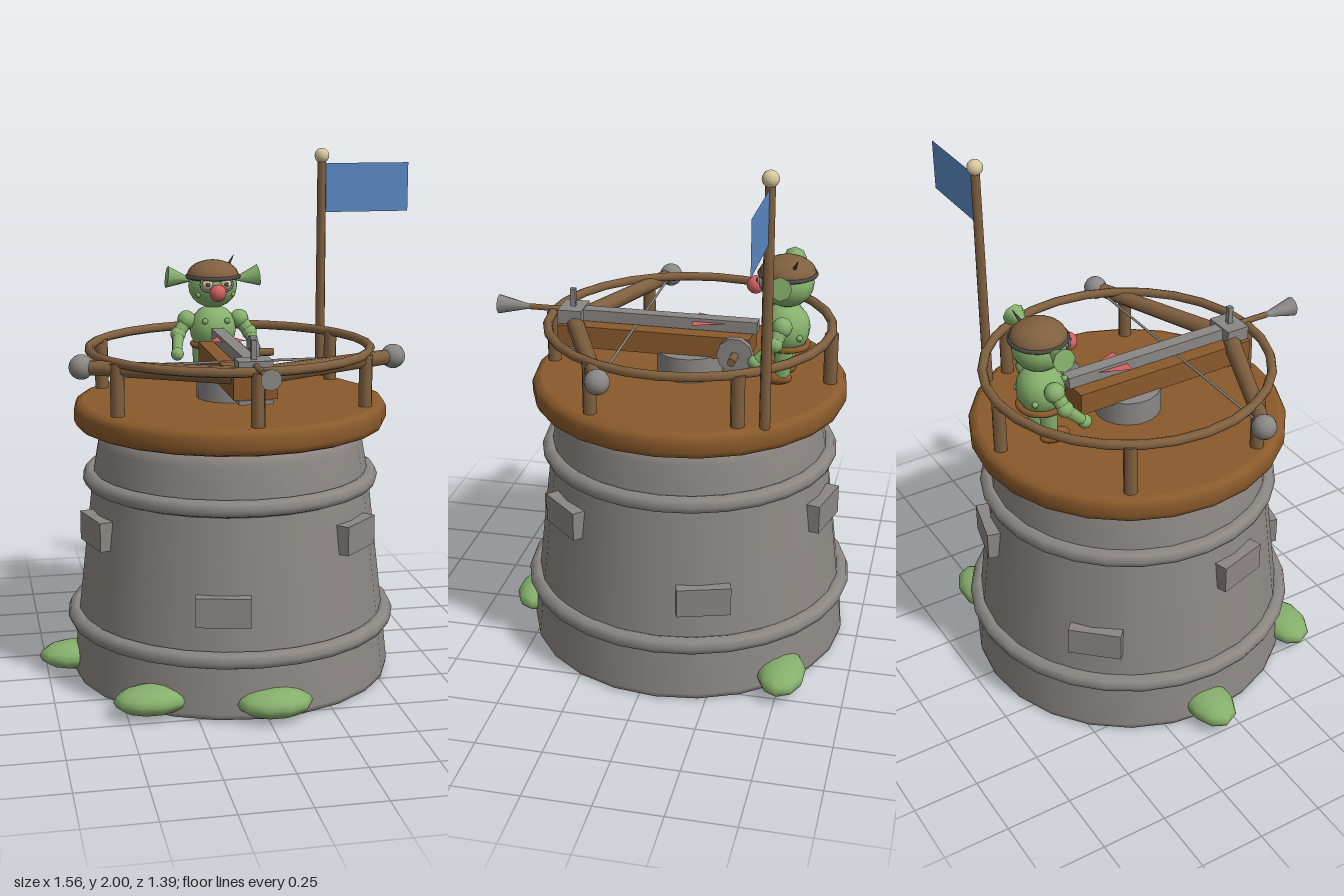
import * as THREE from 'three';

export function createModel() {
  const root = new THREE.Group();
  root.name = 'watchtower';
  const model = new THREE.Group();
  model.name = 'tower';
  model.position.set(-0.027, 0, -0.062);
  root.add(model);

  const mat = (name, color, side = THREE.FrontSide) => {
    const m = new THREE.MeshStandardMaterial({ color, side });
    m.name = name;
    return m;
  };
  const stone = mat('stone', 0x8c8783);
  const metal = mat('metal', 0x8a8886);
  const deck = mat('deckWood', 0x8a5a2b);
  const wood = mat('railWood', 0x80603f);
  const green = mat('green', 0x86b06c);
  const red = mat('red', 0xd45f5f, THREE.DoubleSide);
  const blue = mat('blue', 0x5b8ac6, THREE.DoubleSide);
  const cream = mat('cream', 0xd6c8a0);
  const dark = mat('darkMetal', 0x4d4a48);

  const add = (name, geo, material, x = 0, y = 0, z = 0, parent = model) => {
    const m = new THREE.Mesh(geo, material);
    m.name = name;
    m.position.set(x, y, z);
    parent.add(m);
    return m;
  };
  const ball = (name, r, material, x, y, z, sx = 1, sy = 1, sz = 1, parent = model) => {
    const m = add(name, new THREE.SphereGeometry(r, 14, 10), material, x, y, z, parent);
    m.scale.set(sx, sy, sz);
    return m;
  };
  const box = (name, w, h, d, material, x, y, z) =>
    add(name, new THREE.BoxGeometry(w, h, d), material, x, y, z);
  // Round bar from a to b, radius r0 at a and r1 at b
  const bar = (name, a, b, r0, r1, material, sides = 8, parent = model) => {
    const p = new THREE.Vector3(...a), q = new THREE.Vector3(...b);
    const d = q.clone().sub(p);
    const m = add(name, new THREE.CylinderGeometry(r1, r0, d.length(), sides), material, 0, 0, 0, parent);
    m.position.copy(p).add(q).multiplyScalar(0.5);
    m.quaternion.setFromUnitVectors(new THREE.Vector3(0, 1, 0), d.normalize());
    return m;
  };
  const ring = (name, R, r, material, y, parent = model, z = 0) => {
    const m = add(name, new THREE.TorusGeometry(R, r, 8, 28), material, 0, y, z, parent);
    m.rotation.x = Math.PI / 2;
    return m;
  };
  const lathe = (name, pts, sides, material) =>
    add(name, new THREE.LatheGeometry(pts.map(p => new THREE.Vector2(...p)), sides), material);

  // Stone body with bands
  lathe('towerBody', [[0, 0.005], [0.6, 0.005], [0.6, 0.005], [0.617, 0.012], [0.62, 0.03],
    [0.598, 0.235], [0.535, 0.78], [0.51, 0.92], [0.503, 0.955], [0.475, 0.98], [0.4, 0.99], [0, 0.99]], 24, stone);
  ring('lowerBand', 0.606, 0.033, stone, 0.235);
  ring('upperBand', 0.538, 0.033, stone, 0.78);

  // Protruding bricks in two staggered rows
  for (let i = 0; i < 3; i++) {
    for (const [deg, y, r] of [[46, 0.617, 0.548], [-13, 0.412, 0.565]]) {
      const a = THREE.MathUtils.degToRad(deg + i * 120);
      box('brick', 0.2, 0.11, 0.075, stone, Math.sin(a) * r, y, Math.cos(a) * r).rotation.y = a;
    }
  }

  // Shrubs around the base
  for (const [x, z] of [[0.052, 0.61], [-0.385, 0.5], [-0.615, -0.013], [0.447, -0.45]]) {
    const s = add('shrub', new THREE.SphereGeometry(1, 10, 8), green, x, 0.07, z);
    s.scale.set(0.14, 0.054, 0.09);
  }

  // Round platform
  lathe('platform', [[0, 0.98], [0.57, 0.98], [0.57, 0.98], [0.59, 0.988], [0.6, 1.01], [0.6, 1.05],
    [0.59, 1.07], [0.57, 1.078], [0.57, 1.078], [0, 1.078]], 24, deck);

  // Railing
  ring('handRail', 0.536, 0.018, wood, 1.273);
  for (let i = 0; i < 6; i++) {
    const a = i * Math.PI / 3, x = Math.sin(a) * 0.536, z = Math.cos(a) * 0.536;
    bar('railPost', [x, 1.07, z], [x, 1.273, z], 0.026, 0.026, wood);
  }

  // Flag
  bar('flagPole', [0.445, 1.07, -0.362], [0.445, 1.96, -0.362], 0.02, 0.018, wood);
  ball('poleFinial', 0.03, cream, 0.445, 1.97, -0.362);
  add('flag', new THREE.PlaneGeometry(0.345, 0.195), blue, 0.633, 1.842, -0.362);

  // Giant crossbow
  add('pedestal', new THREE.CylinderGeometry(0.127, 0.127, 0.1, 18), metal, 0, 1.122, 0);
  box('stock', 0.16, 0.085, 0.74, deck, 0, 1.21, 0.128);
  box('boltTrack', 0.05, 0.045, 0.7, metal, 0, 1.278, 0.09);
  box('headBracket', 0.125, 0.055, 0.092, metal, 0, 1.278, 0.455);
  box('underPlate', 0.125, 0.016, 0.095, metal, 0, 1.159, 0.457);
  box('sight', 0.02, 0.08, 0.02, metal, 0, 1.335, 0.455);
  bar('boltShaft', [0, 1.288, -0.15], [0, 1.288, 0.63], 0.012, 0.012, wood);
  bar('boltHead', [0, 1.288, 0.615], [0, 1.288, 0.752], 0.006, 0.038, metal, 10);
  for (const s of [-1, 1]) {
    bar('bowLimb', [s * 0.05, 1.245, 0.435], [s * 0.587, 1.252, 0.205], 0.034, 0.028, wood);
    ball('limbCap', 0.046, metal, s * 0.587, 1.252, 0.205);
    const fin = new THREE.Shape();
    fin.moveTo(s * 0.025, 0.14);
    fin.lineTo(s * 0.072, 0.02);
    fin.lineTo(s * 0.025, 0.015);
    const f = add('fletching', new THREE.ShapeGeometry(fin), red, 0, 1.288, 0);
    f.rotation.x = -Math.PI / 2;
  }
  bar('bowString', [-0.587, 1.252, 0.205], [0.587, 1.252, 0.205], 0.005, 0.005, metal, 6);
  bar('crankAxle', [0.06, 1.21, -0.2], [0.13, 1.21, -0.2], 0.015, 0.015, metal);
  bar('crankWheel', [0.117, 1.21, -0.197], [0.145, 1.21, -0.197], 0.068, 0.068, metal, 10);
  bar('crankHandle', [0.14, 1.21, -0.197], [0.213, 1.21, -0.197], 0.016, 0.016, wood);

  // Goblin gunner
  const g = new THREE.Group();
  g.name = 'goblin';
  g.position.z = -0.365;
  model.add(g);
  const gb = (name, r, m, x, y, z, sx, sy, sz) => ball(name, r, m, x, y, z, sx, sy, sz, g);
  gb('torso', 0.095, green, 0, 1.285, 0, 1, 1.02, 0.95);
  gb('head', 0.1, green, 0, 1.46, 0, 1, 0.9, 1);
  add('helmet', new THREE.SphereGeometry(0.106, 16, 8, 0, Math.PI * 2, 0, Math.PI / 2), wood, 0, 1.497, 0, g)
    .scale.y = 0.62;
  ring('helmetBand', 0.104, 0.008, dark, 1.496, g);
  bar('helmetSpike', [0.065, 1.53, -0.03], [0.095, 1.575, -0.05], 0.009, 0.001, dark, 6, g);
  gb('nose', 0.034, red, 0, 1.443, 0.118);
  ring('belt', 0.082, 0.012, deck, 1.222, g);
  for (const s of [-1, 1]) {
    bar('ear', [s * 0.09, 1.483, 0], [s * 0.187, 1.497, 0], 0.006, 0.044, green, 8, g);
    gb('eye', 0.024, cream, s * 0.037, 1.475, 0.083);
    gb('pupil', 0.009, dark, s * 0.037, 1.475, 0.103);
    add('goggleRim', new THREE.TorusGeometry(0.027, 0.005, 6, 14), metal, s * 0.037, 1.475, 0.09, g);
    gb('shoulder', 0.038, green, s * 0.108, 1.322, 0);
    bar('upperArm', [s * 0.108, 1.322, 0], [s * 0.146, 1.268, 0.02], 0.03, 0.026, green, 8, g);
    gb('elbow', 0.031, green, s * 0.146, 1.268, 0.02);
    bar('forearm', [s * 0.146, 1.268, 0.02], [s * 0.16, 1.205, 0.085], 0.026, 0.02, green, 8, g);
    gb('hand', 0.026, green, s * 0.16, 1.2, 0.09);
    bar('leg', [s * 0.05, 1.22, 0], [s * 0.05, 1.1, 0.005], 0.036, 0.03, green, 8, g);
    gb('shoe', 0.036, deck, s * 0.052, 1.102, 0.025, 0.95, 0.72, 1.7);
    // Warts
    gb('wart', 0.012, green, s * 0.045, 1.325, 0.075);
    gb('wart', 0.012, green, s * 0.07, 1.27, -0.06);
    gb('wart', 0.01, green, s * 0.07, 1.43, 0.062);
  }
  return root;
}
